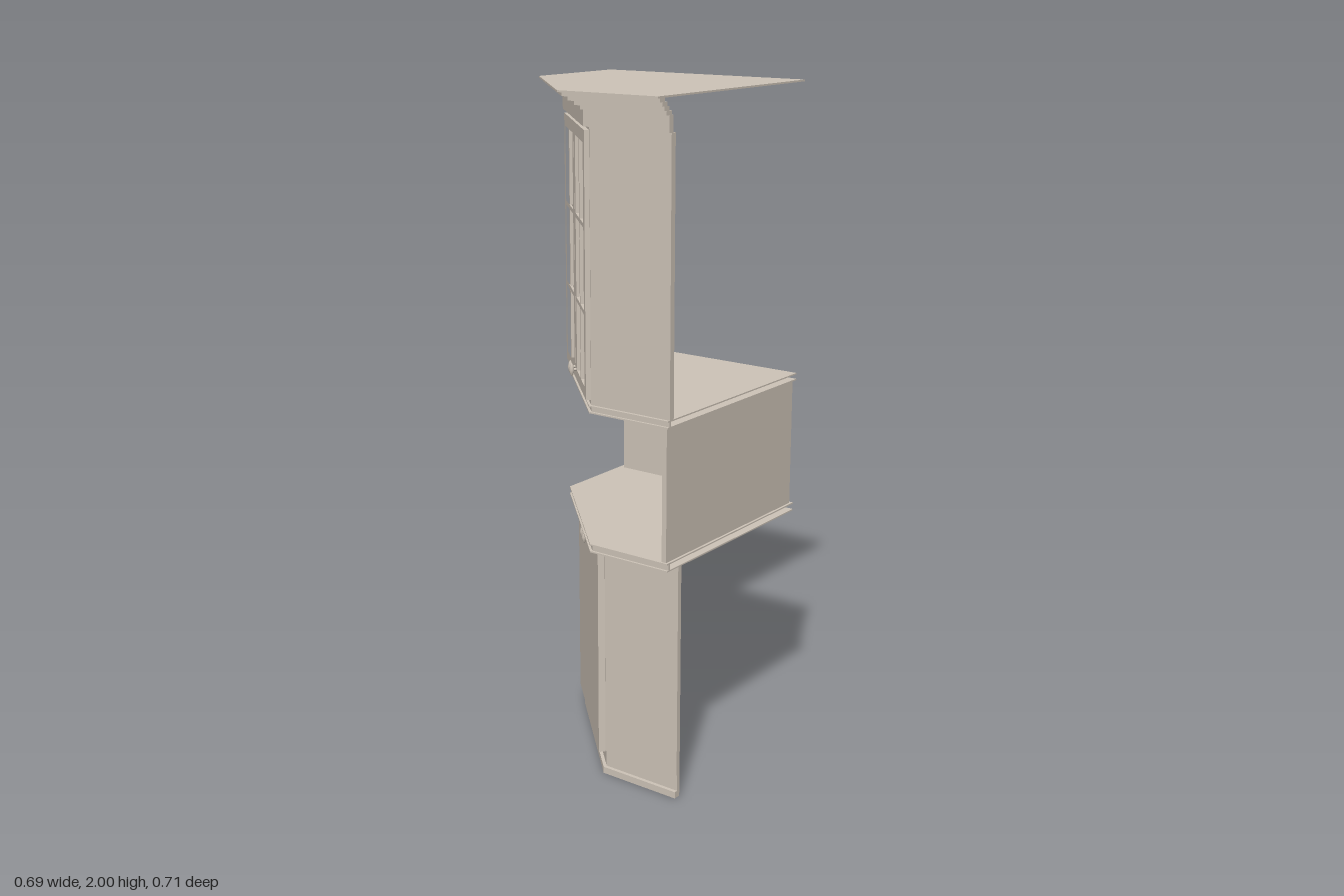
import * as THREE from 'three';

const RIGHT = 0.3475, BACK = -0.355; // the two sides that stand against the room walls

export function createModel() {
  const root = new THREE.Group();
  root.name = 'cornerCabinet';
  const paint = new THREE.MeshStandardMaterial({ color: 0xcdc3b7 });
  paint.name = 'beige paint';

  const add = (name, geometry, parent = root) => {
    const mesh = new THREE.Mesh(geometry, paint);
    mesh.name = name;
    parent.add(mesh);
    return mesh;
  };

  // Plan of the visible faces as [x, z]: left side at x = -s, front at z = f, diagonal on z - x = c
  const plan = ([s, f, c], inset = 0) => {
    const S = s - inset, F = f - inset, C = c - inset * Math.SQRT2;
    return [[-S, BACK], [-S, C - S], [F - C, F], [RIGHT, F]];
  };

  // Upright extrusion of a plan polygon
  const prism = (name, points, y0, y1) => {
    const shape = new THREE.Shape(points.map(([x, z]) => new THREE.Vector2(x, -z)));
    const geo = new THREE.ExtrudeGeometry(shape, { depth: y1 - y0, bevelEnabled: false });
    return add(name, geo.rotateX(-Math.PI / 2).translate(0, y0, 0));
  };

  // Three-sided wall, open towards the room corner
  const wall = (name, size, y0, y1, t) =>
    prism(name, [...plan(size), ...plan(size, t).reverse()], y0, y1);

  // Thin full-plan sheet
  const sheet = (name, size, y0, y1) => prism(name, [...plan(size), [RIGHT, BACK]], y0, y1);

  // Inside skin with soft shading across its bends
  const lining = (name, path, y0, y1) => {
    const pos = [], index = [];
    path.forEach(([x, z], i) => {
      pos.push(x, y0, z, x, y1, z);
      if (i) {
        const a = 2 * i - 2;
        index.push(a, a + 1, a + 2, a + 1, a + 3, a + 2);
      }
    });
    const geo = new THREE.BufferGeometry();
    geo.setAttribute('position', new THREE.Float32BufferAttribute(pos, 3));
    geo.setIndex(index);
    geo.computeVertexNormals();
    add(name, geo);
  };

  // Group whose local z points out of the diagonal front
  const diagonal = (name, x, c) => {
    const g = new THREE.Group();
    g.name = name;
    g.position.set(x, 0, x + c);
    g.rotation.y = -Math.PI / 4;
    root.add(g);
    return g;
  };

  // Small spindle-shaped knobs, one on each side of the middle
  const knobs = (parent, dx, y, z) => {
    const profile = [[0, -0.02], [0.004, -0.015], [0.008, 0], [0.004, 0.015], [0, 0.02]];
    for (const side of [-1, 1]) {
      const geo = new THREE.LatheGeometry(profile.map(p => new THREE.Vector2(...p)), 10);
      add('knob', geo, parent).position.set(side * dx, y, z + 0.014);
      const stem = new THREE.CylinderGeometry(0.004, 0.004, 0.016, 8).rotateX(Math.PI / 2);
      add('knobStem', stem, parent).position.set(side * dx, y, z + 0.006);
    }
  };

  // Lower cabinet: plinth moulding, body and plain door
  const lower = [0.245, 0.25, 0.16];
  wall('plinthMoulding', [0.252, 0.258, 0.17], 0, 0.02, 0.02);
  wall('plinth', [0.242, 0.247, 0.156], 0.01, 0.07, 0.012);
  wall('lowerBody', lower, 0.07, 0.71, 0.015);
  const lowerInside = plan(lower, 0.016);
  lining('lowerLining', lowerInside.slice(1), 0.02, 0.71);
  const lowerFront = diagonal('lowerFront', -0.076, 0.16);
  add('lowerDoor', new THREE.BoxGeometry(0.48, 0.63, 0.02), lowerFront).position.set(0, 0.385, 0.011);
  knobs(lowerFront, 0.024, 0.67, 0.021);

  // Hollow ledges under and above the open niche
  const ledge = [0.295, 0.304, 0.225];
  const ledgeEdge = [0.288, 0.297, 0.215];
  for (const [name, y0, y1] of [['counter', 0.71, 0.735], ['upperLedge', 1.12, 1.142]]) {
    wall(name + 'Edge', ledgeEdge, y0, y1, 0.008);
    sheet(name + 'Bottom', ledge, y0, y0 + 0.004);
    sheet(name + 'Top', ledge, y1 - 0.004, y1);
  }

  // Back panels of the niche
  add('nicheBack', new THREE.BoxGeometry(0.62, 0.385, 0.015)).position.set(0.03, 0.9275, -0.3385);
  add('nicheSide', new THREE.BoxGeometry(0.015, 0.385, 0.629)).position.set(0.3325, 0.9275, -0.0165);

  // Upper cabinet body
  const upper = [0.288, 0.295, 0.215];
  wall('upperBody', upper, 1.142, 1.905, 0.018);
  lining('upperLining', plan(upper, 0.019), 1.142, 1.905);

  // Pair of upper doors, each with two by three sunk panes
  const upperFront = diagonal('upperFront', -0.1, 0.215);
  const rect = (P, x0, y0, x1, y1) =>
    new P([[x0, y0], [x1, y0], [x1, y1], [x0, y1]].map(p => new THREE.Vector2(...p)));
  const columns = [[0.032, 0.119], [0.131, 0.218]];
  const rows = [[1.185, 1.39], [1.402, 1.63], [1.642, 1.86]];
  for (const side of [-1, 1]) {
    const door = rect(THREE.Shape, side * 0.002, 1.155, side * 0.25, 1.895);
    for (const [x0, x1] of columns)
      for (const [y0, y1] of rows)
        door.holes.push(rect(THREE.Path, side * x0, y0, side * x1, y1));
    const geo = new THREE.ExtrudeGeometry(door, { depth: 0.014, bevelEnabled: false });
    add(side < 0 ? 'upperDoorRight' : 'upperDoorLeft', geo, upperFront);
  }
  knobs(upperFront, 0.018, 1.185, 0.014);

  // Frieze and stepped, hollow crown moulding
  wall('frieze', [0.3, 0.306, 0.238], 1.905, 1.95, 0.018);
  const steps = [[0.31, 0.25], [0.32, 0.272], [0.329, 0.296], [0.339, 0.318]];
  steps.forEach(([s, c], i) =>
    wall('crownStep', [s, s + 0.0075, c], 1.95 + i * 0.0115, 1.9615 + i * 0.0115, 0.022));
  sheet('top', [0.3475, 0.355, 0.335], 1.995, 2);

  return root;
}
